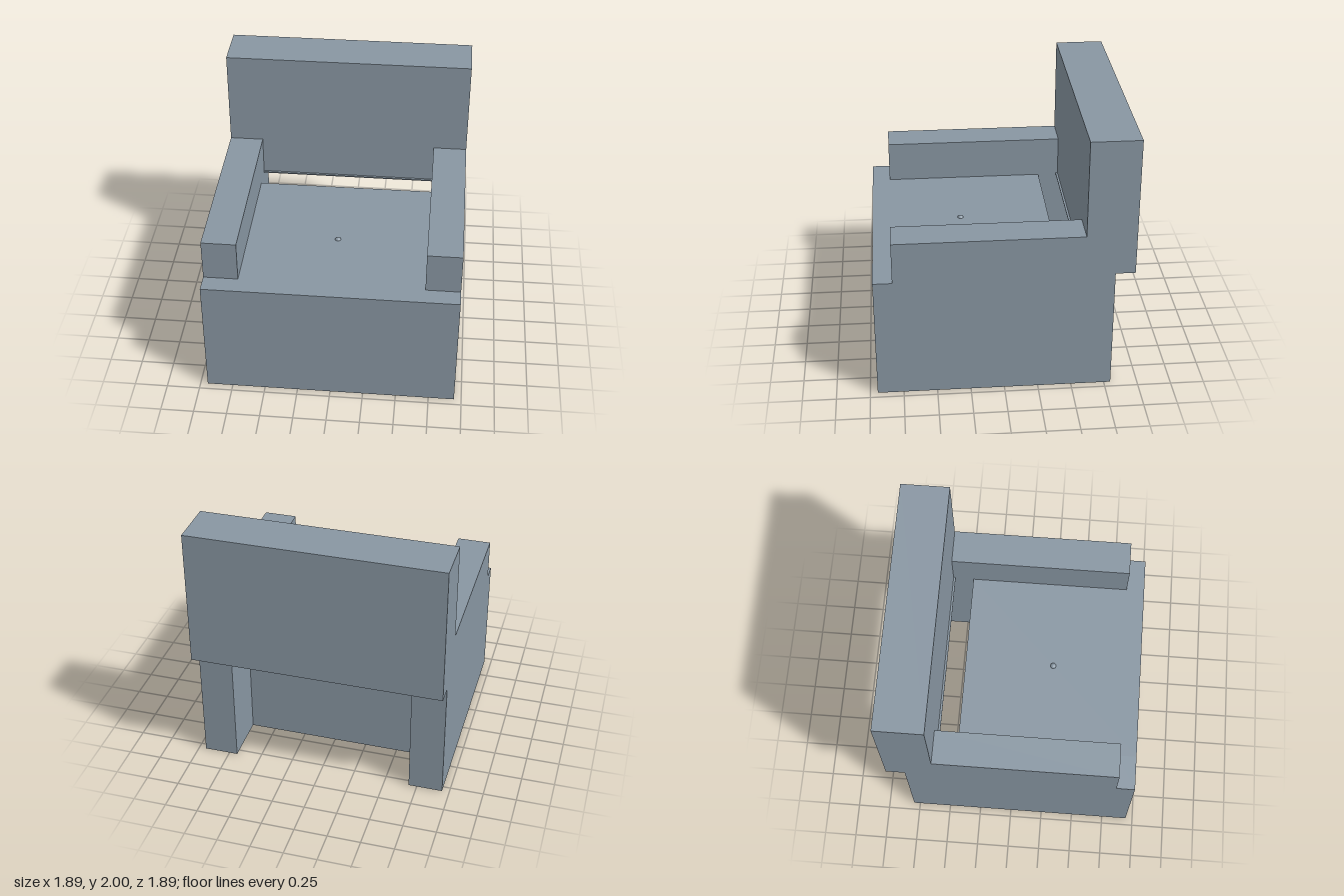
import * as THREE from 'three';

const upholstery = new THREE.MeshStandardMaterial({ color: 0x8896a2 });
upholstery.name = 'greyBlueUpholstery';

// Box given by its lower and upper corners
function block(name, [x0, y0, z0], [x1, y1, z1]) {
  const geometry = new THREE.BoxGeometry(x1 - x0, y1 - y0, z1 - z0);
  geometry.translate((x0 + x1) / 2, (y0 + y1) / 2, (z0 + z1) / 2);
  const mesh = new THREE.Mesh(geometry, upholstery);
  mesh.name = name;
  return mesh;
}

export function createModel() {
  const chair = new THREE.Group();
  chair.name = 'armchair';

  const half = 0.945; // half width and half depth
  const inner = 0.687; // inner face of the arms
  const seatTop = 0.945;

  // Seat block between the arms, open behind
  chair.add(block('seat', [-inner, 0, -0.42], [inner, seatTop, half]));

  // Stepped side panels: seat front, armrest and rear leg in one profile
  const profile = new THREE.Shape([
    [half, 0], [half, seatTop], [0.805, seatTop], [0.805, 1.262],
    [-0.58, 1.262], [-0.58, 0.95], [-0.8, 0.95], [-0.8, 0],
  ].map(([z, y]) => new THREE.Vector2(z, y)));
  for (const [name, x] of [['leftArm', half], ['rightArm', -inner]]) {
    const geometry = new THREE.ExtrudeGeometry(profile, { depth: half - inner, bevelEnabled: false });
    geometry.rotateY(-Math.PI / 2).translate(x, 0, 0);
    const arm = new THREE.Mesh(geometry, upholstery);
    arm.name = name;
    chair.add(arm);
  }

  // Backrest with a narrow lip along its lower front edge
  chair.add(block('backrest', [-half, 0.95, -half], [half, 2, -0.58]));
  chair.add(block('backrestLip', [-inner, 0.947, -0.58], [inner, 0.957, -0.564]));

  // Small button sunk into the seat
  const button = new THREE.Mesh(new THREE.SphereGeometry(0.024, 24, 16), upholstery);
  button.name = 'seatButton';
  button.position.set(0, 0.938, 0.264);
  chair.add(button);

  return chair;
}
